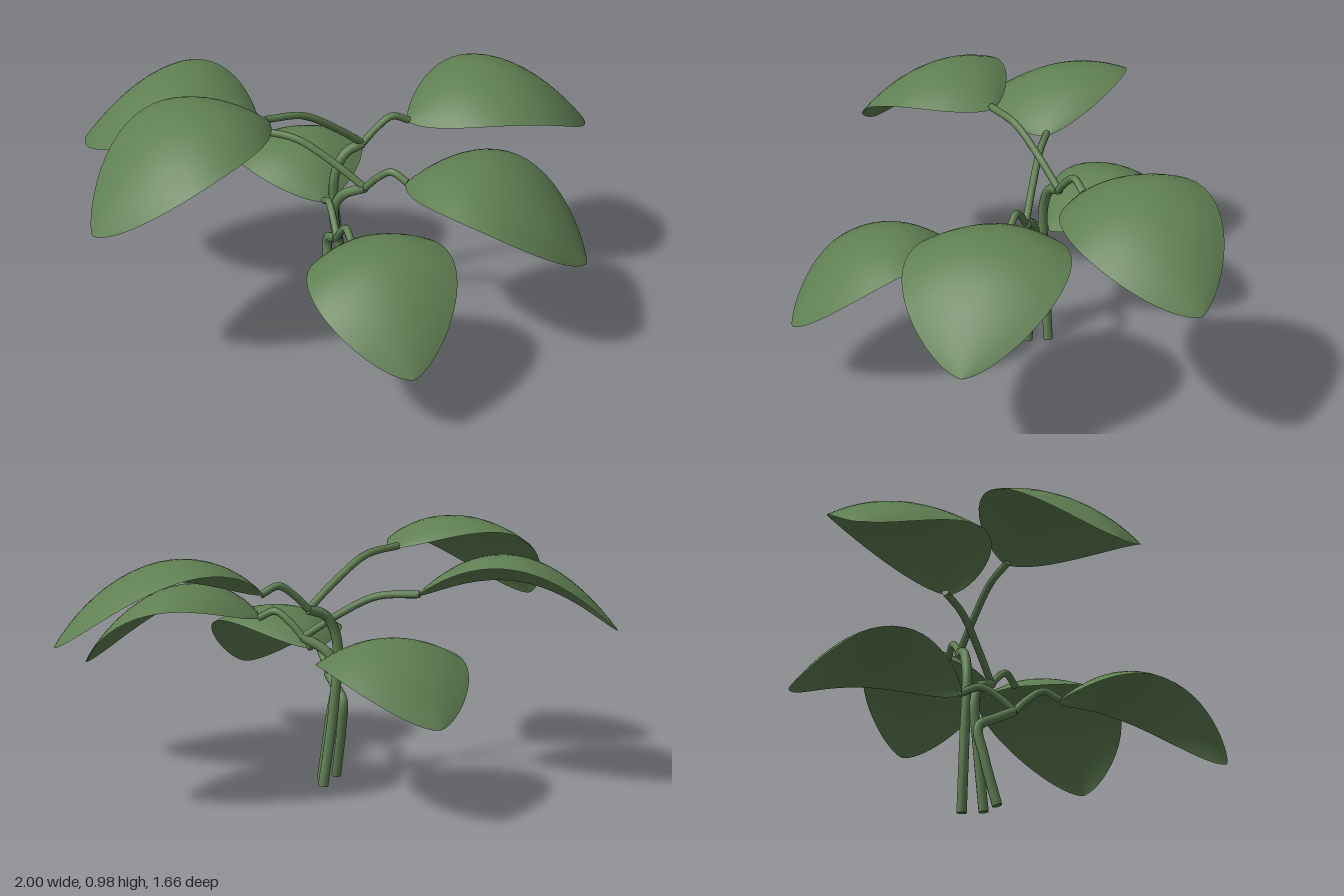
import * as THREE from 'three';

const V = (p) => new THREE.Vector3(...p);

// Arched blade from base to tip; roll lifts its left edge and lowers its right one
function leafGeometry(base, tip, halfWidth, roll) {
  const ctrl = base.clone().lerp(tip, 0.5);
  ctrl.y += 0.42;
  const rib = new THREE.QuadraticBezierCurve3(base, ctrl, tip);
  const across = new THREE.Vector3(tip.z - base.z, 0, base.x - tip.x).setLength(halfWidth);
  across.y = roll;
  const geo = new THREE.PlaneGeometry(1, 1, 16, 28);
  const pos = geo.attributes.position;
  for (let i = 0; i < pos.count; i++) {
    const v = -pos.getX(i) * 2;
    const u = (1 - Math.cos((pos.getY(i) + 0.5) * Math.PI)) / 2;
    const w = Math.pow(Math.max(0, 4 * u * (1 - u)), 0.75);
    const p = rib.getPoint(u).addScaledVector(across, w * v);
    pos.setXYZ(i, p.x, p.y - 0.076 * w * v * v, p.z);
  }
  geo.computeVertexNormals();
  return geo;
}

// Stalk that rises from the fork and bows over to the leaf
function stalkPoints(fork, base) {
  return [[0, 0], [0.3, 0.035], [0.65, 0.052], [1.03, 0]].map(([t, lift]) => {
    const p = fork.clone().lerp(base, t);
    p.y += lift;
    return p;
  });
}

// Three stems, each forking into two leaves
const STEMS = [
  {
    path: [[0, 0.01, -0.19], [-0.04, 0.3, -0.185], [-0.055, 0.56, -0.18], [-0.01, 0.66, -0.19], [0.06, 0.69, -0.205]],
    leaves: [
      { base: [0.24, 0.757, -0.24], tip: [1, 0.64, -0.41], halfWidth: 0.26, roll: 0.05 },
      { base: [-0.315, 0.88, -0.05], tip: [-0.98, 0.62, 0.27], halfWidth: 0.275, roll: -0.035 },
    ],
  },
  {
    path: [[-0.015, 0.01, -0.11], [-0.04, 0.25, -0.135], [-0.06, 0.44, -0.15], [-0.03, 0.51, -0.13], [0.05, 0.56, -0.08]],
    leaves: [
      { base: [0.19, 0.62, 0.02], tip: [0.81, 0.41, 0.36], halfWidth: 0.295, roll: 0.015 },
      { base: [-0.33, 0.735, -0.27], tip: [-1, 0.63, -0.56], halfWidth: 0.285, roll: -0.07 },
    ],
  },
  {
    path: [[-0.085, 0.01, -0.065], [-0.09, 0.2, -0.115], [-0.09, 0.32, -0.135], [-0.08, 0.36, -0.07], [-0.07, 0.395, 0]],
    leaves: [
      { base: [-0.04, 0.46, 0.17], tip: [0.08, 0.27, 0.825], halfWidth: 0.265, roll: 0.03 },
      { base: [-0.09, 0.45, -0.2], tip: [-0.24, 0.38, -0.83], halfWidth: 0.27, roll: 0 },
    ],
  },
];

export function createModel() {
  const model = new THREE.Group();
  model.name = 'leafyPlant';
  const green = new THREE.MeshStandardMaterial({ color: 0x5f7f52, side: THREE.DoubleSide });
  green.name = 'leafGreen';

  const add = (name, geo) => {
    const mesh = new THREE.Mesh(geo, green);
    mesh.name = name;
    model.add(mesh);
  };

  // Round tube with closed ends
  const tube = (name, points, radius) => {
    const curve = new THREE.CatmullRomCurve3(points);
    add(name, new THREE.TubeGeometry(curve, 28, radius, 10));
    for (const t of [0, 1]) {
      const cap = new THREE.CircleGeometry(radius, 10);
      const dir = curve.getTangent(t).multiplyScalar(t ? 1 : -1);
      cap.applyQuaternion(new THREE.Quaternion().setFromUnitVectors(new THREE.Vector3(0, 0, 1), dir));
      cap.translate(...curve.getPoint(t).toArray());
      add(name + 'Cap', cap);
    }
  };

  for (const { path, leaves } of STEMS) {
    const points = path.map(V);
    tube('stem', points, 0.019);
    for (const { base, tip, halfWidth, roll } of leaves) {
      tube('leafStalk', stalkPoints(points.at(-1), V(base)), 0.014);
      add('leaf', leafGeometry(V(base), V(tip), halfWidth, roll));
    }
  }
  return model;
}
